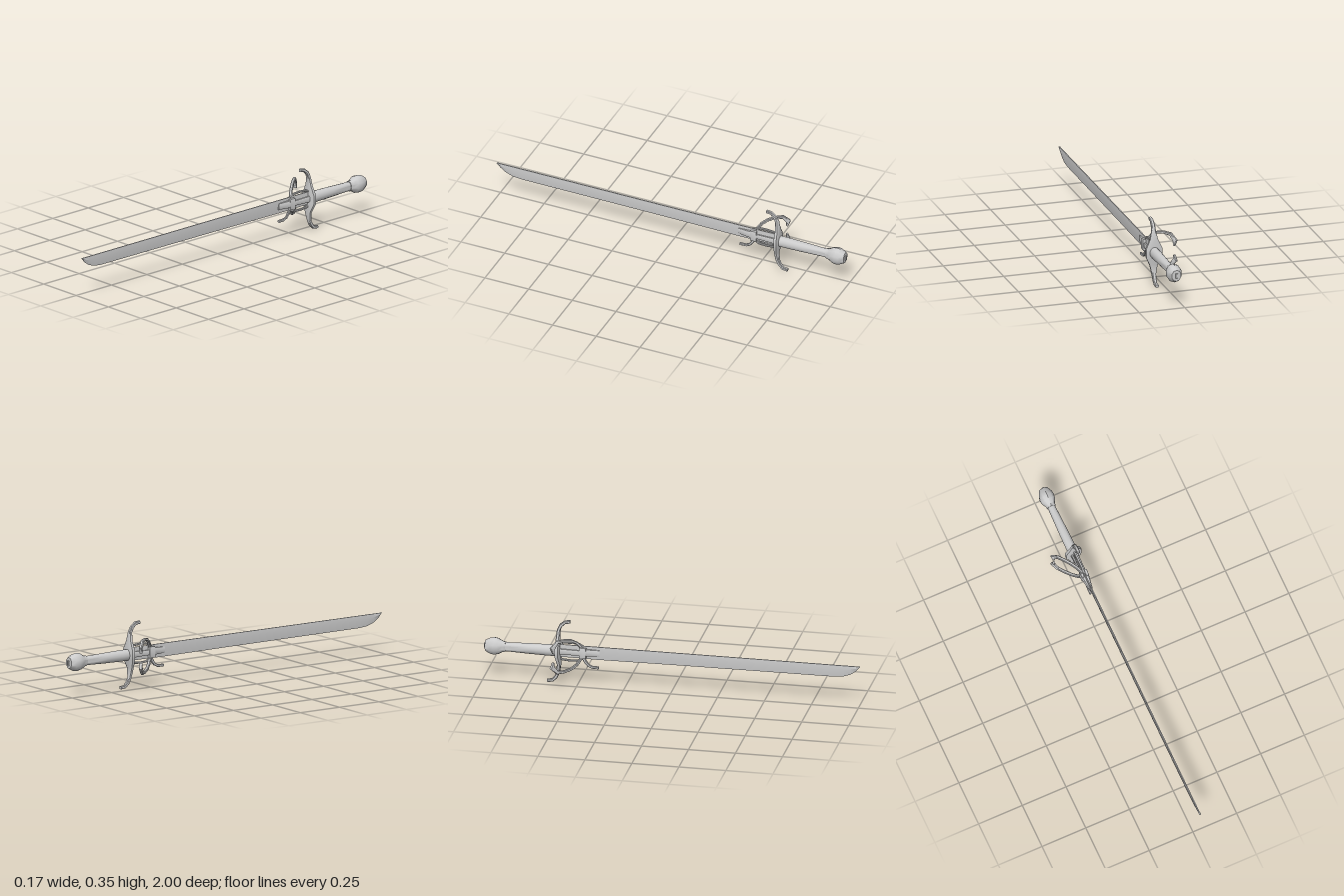
import * as THREE from 'three';
import { toCreasedNormals } from 'three/addons/utils/BufferGeometryUtils.js';

const CX = 0.043, CY = 0.178; // long axis of the sword
const material = new THREE.MeshStandardMaterial({ color: 0xcccccc, side: THREE.DoubleSide });
const V = (x, y, z) => new THREE.Vector3(x, y, z);

// Skin a list of equal-length rings (counter-clockwise about the path), with end caps.
function loft(rings, crease = 0.6) {
  const n = rings[0].length, index = [];
  const pos = rings.flat().flatMap(p => [p.x, p.y, p.z]);
  for (let i = 0; i < rings.length - 1; i++) {
    for (let j = 0; j < n; j++) {
      const a = i * n + j, b = i * n + (j + 1) % n;
      index.push(a, b, b + n, a, b + n, a + n);
    }
  }
  const last = (rings.length - 1) * n;
  for (let j = 1; j < n - 1; j++) {
    index.push(0, j + 1, j, last, last + j, last + j + 1);
  }
  const g = new THREE.BufferGeometry();
  g.setAttribute('position', new THREE.Float32BufferAttribute(pos, 3));
  g.setIndex(index);
  return toCreasedNormals(g, crease);
}

// Chamfered bar along stations [x, y, z, half size along fixed axis, half size across it].
function bar(stations, axis, bevel = 0.6) {
  const pts = stations.map(s => V(s[0], s[1], s[2]));
  const k = bevel;
  const profile = [[1, -k], [1, k], [k, 1], [-k, 1], [-1, k], [-1, -k], [-k, -1], [k, -1]];
  return loft(stations.map((s, i) => {
    const t = pts[Math.min(i + 1, pts.length - 1)].clone().sub(pts[Math.max(i - 1, 0)]).normalize();
    const across = t.cross(axis).normalize();
    return profile.map(([u, v]) => pts[i].clone()
      .addScaledVector(axis, u * s[3]).addScaledVector(across, v * s[4]));
  }));
}

export function createModel() {
  const sword = new THREE.Group();
  sword.name = 'sword';
  const add = (name, geometry) => {
    const m = new THREE.Mesh(geometry, material);
    m.name = name;
    sword.add(m);
    return m;
  };
  const X = V(1, 0, 0);

  // Single-edged blade: flat spine on top, edge below, curved up to the tip
  const blade = [[-0.6, 0.145], [-0.4, 0.143], [0, 0.146], [0.5, 0.148], [0.86, 0.149],
    [0.91, 0.154], [0.95, 0.168], [0.98, 0.189], [1, 0.212]];
  add('blade', loft(blade.map(([z, low]) => {
    const top = 0.215, mid = low + (top - low) * 0.6, t = 0.0045;
    return [V(CX, low, z), V(CX + t, mid, z), V(CX + t * 0.6, top, z),
      V(CX - t * 0.6, top, z), V(CX - t, mid, z)];
  }), 0.3));

  // Crossguard: broad in the middle, ends curling opposite ways
  const guard = [[0.008, -0.663, 0.009, 0.008], [0.011, -0.636, 0.009, 0.008],
    [0.03, -0.618, 0.01, 0.009], [0.055, -0.606, 0.011, 0.009], [0.105, -0.6, 0.021, 0.01],
    [0.155, -0.608, 0.044, 0.013], [0.2, -0.608, 0.044, 0.013], [0.25, -0.606, 0.021, 0.01],
    [0.297, -0.602, 0.011, 0.009], [0.322, -0.59, 0.01, 0.009],
    [0.341, -0.568, 0.009, 0.008], [0.344, -0.542, 0.009, 0.008]];
  add('crossguard', bar(guard.map(([y, z, w, t]) => [CX, y, z, w, t]), X));

  // Open side ring: two mirrored arms in a slanted plane, flared near the tips
  const arm = [[0.038, 0.195, 0.007], [0.031, 0.215, 0.007], [0.018, 0.239, 0.007],
    [-0.002, 0.257, 0.007], [-0.028, 0.265, 0.007], [-0.054, 0.2625, 0.009],
    [-0.072, 0.231, 0.013], [-0.068, 0.204, 0.005]];
  const normal = V(1.25, 0, -1).normalize();
  for (const [side, name] of [[1, 'upperRingArm'], [-1, 'lowerRingArm']]) {
    add(name, bar(arm.map(([x, y, w]) =>
      [x, CY + side * (y - CY), -0.478 + 1.25 * (x - 0.037), 0.008, w]), normal));
  }

  // Collar around the blade, with a tapered tongue on each face
  for (const s of [-1, 1]) {
    add('collarCheek', bar([[CX + s * 0.013, 0.178, -0.49, 0.009, 0.031],
      [CX + s * 0.013, 0.178, -0.455, 0.008, 0.029]], X, 0.75));
    add('tongue', bar([[CX + s * 0.01, 0.181, -0.46, 0.011, 0.019],
      [CX + s * 0.005, 0.181, -0.385, 0.004, 0.016]], X));
    add('sideRail', bar([[CX + s * 0.013, 0.178, -0.61, 0.006, 0.016],
      [CX + s * 0.012, 0.178, -0.48, 0.005, 0.013]], X));
    // Bowed rail above and below the blade, joining collar and guard
    const bow = [[-0.605, 0.038], [-0.58, 0.047], [-0.54, 0.05], [-0.5, 0.048], [-0.472, 0.034]];
    add(s > 0 ? 'upperRail' : 'lowerRail',
      bar(bow.map(([z, h]) => [CX, CY + s * h, z, 0.006, 0.005]), X));
  }

  // Small forward hook under the collar
  add('lowerHook', bar([[CX, 0.16, -0.474, 0.007, 0.009], [CX, 0.13, -0.462, 0.006, 0.008],
    [CX, 0.108, -0.445, 0.005, 0.007], [CX, 0.099, -0.425, 0.005, 0.007],
    [CX, 0.098, -0.39, 0.006, 0.007]], X));

  // Grip and pommel turned about the long axis, slightly oval
  const turned = (name, profile, sides) => {
    const g = new THREE.LatheGeometry(profile.map(([z, r]) => new THREE.Vector2(r, -z)), sides);
    g.rotateX(-Math.PI / 2).scale(0.9, 1.05, 1);
    add(name, toCreasedNormals(g, 0.7)).position.set(CX, CY, 0);
  };
  turned('grip', [[-0.605, 0], [-0.605, 0.029], [-0.66, 0.029], [-0.76, 0.027],
    [-0.85, 0.024], [-0.9, 0.023]], 16);
  turned('pommel', [[-0.885, 0], [-0.885, 0.027], [-0.9, 0.029], [-0.925, 0.043],
    [-0.945, 0.046], [-0.965, 0.043], [-0.992, 0.029], [-0.994, 0]], 10);
  add('pommelButton', new THREE.BoxGeometry(0.012, 0.026, 0.012)).position.set(CX, CY, -0.994);

  return sword;
}
